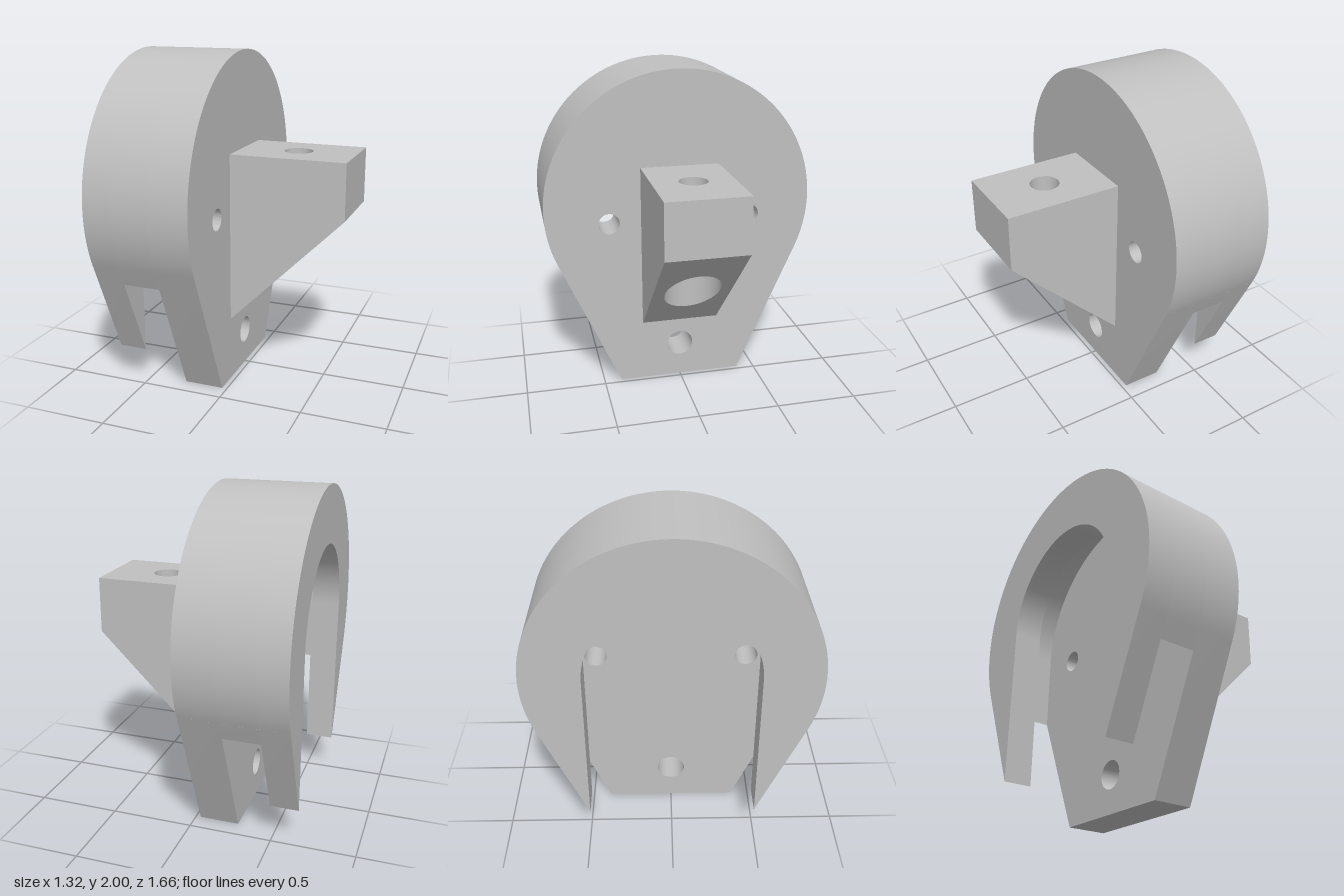
import * as THREE from 'three';
import { toCreasedNormals } from 'three/addons/utils/BufferGeometryUtils.js';

const CY = 1.17, R = 0.83;            // round top: centre height and radius
const FOOT = 0.39;                    // half width of the flat foot
const TX = 0.76, TY = 0.836;          // where the tapered side meets the round top
const SLOPE = (TX - FOOT) / TY;
const SEGMENTS = 64;

// Teardrop outline above a given height, seen along x
function outline(half, y) {
  const s = new THREE.Shape();
  const a = Math.atan2(TY - CY, TX);
  s.moveTo(half, y);
  s.lineTo(TX, TY);
  s.absarc(0, CY, R, a, Math.PI - a, false);
  s.lineTo(-half, y);
  return s;
}

// Arched layer whose legs run out to a knife edge against the tapered sides
function horseshoe(half) {
  const s = outline(half, (half - FOOT) / SLOPE);
  s.lineTo(-half, CY);
  s.absarc(0, CY, half, Math.PI, 0, true);
  s.closePath();
  return s;
}

function addHole(shape, x, y, r) {
  shape.holes.push(new THREE.Path().absarc(x, y, r, 0, Math.PI * 2, true));
}

function extrude(shape, depth) {
  return new THREE.ExtrudeGeometry(shape, { depth, bevelEnabled: false, curveSegments: SEGMENTS });
}

export function createModel() {
  const group = new THREE.Group();
  const grey = new THREE.MeshStandardMaterial({ color: 0xc0c0c0 });
  grey.name = 'light grey';

  const add = (name, geometry) => {
    const mesh = new THREE.Mesh(toCreasedNormals(geometry, 0.4), grey);
    mesh.name = name;
    group.add(mesh);
  };
  const layer = (name, shape, x0, x1) =>
    add(name, extrude(shape, x1 - x0).rotateY(Math.PI / 2).translate(x0, 0, 0));

  // Mounting plate with three screw holes
  const plate = outline(FOOT, 0);
  plate.closePath();
  addHole(plate, 0, 0.225, 0.083);
  for (const side of [-1, 1]) addHole(plate, side * 0.44, 1.08, 0.065);
  layer('mountingPlate', plate, -0.27, -0.03);

  // Wide inner groove and the narrower lip that forms the T-slot
  layer('grooveWall', horseshoe(0.71), -0.49, -0.27);
  layer('slotLip', horseshoe(0.49), -0.66, -0.49);

  // Bracket: footprint blocks with a vertical bore, stacked
  const X0 = -0.03, X1 = 0.66, HALF = 0.243, BOTTOM = 0.395, STEP = 1.16, TOP = 1.42;
  const block = (radius, y0, y1) => {
    const s = new THREE.Shape();
    s.moveTo(X0, -HALF);
    s.lineTo(X1, -HALF);
    s.lineTo(X1, HALF);
    s.lineTo(X0, HALF);
    s.closePath();
    addHole(s, 0.313, 0, radius);
    return extrude(s, y1 - y0).rotateX(-Math.PI / 2).translate(0, y0, 0);
  };
  add('bracketTop', block(0.085, STEP, TOP));

  // Lower block: its underside is sheared to a 45 degree slope
  const wedge = block(0.17, BOTTOM, STEP);
  const p = wedge.attributes.position;
  for (let i = 0; i < p.count; i++) {
    if (p.getY(i) < BOTTOM + 0.01) p.setY(i, BOTTOM + (p.getX(i) - X0));
  }
  add('bracketWedge', wedge);

  return group;
}
